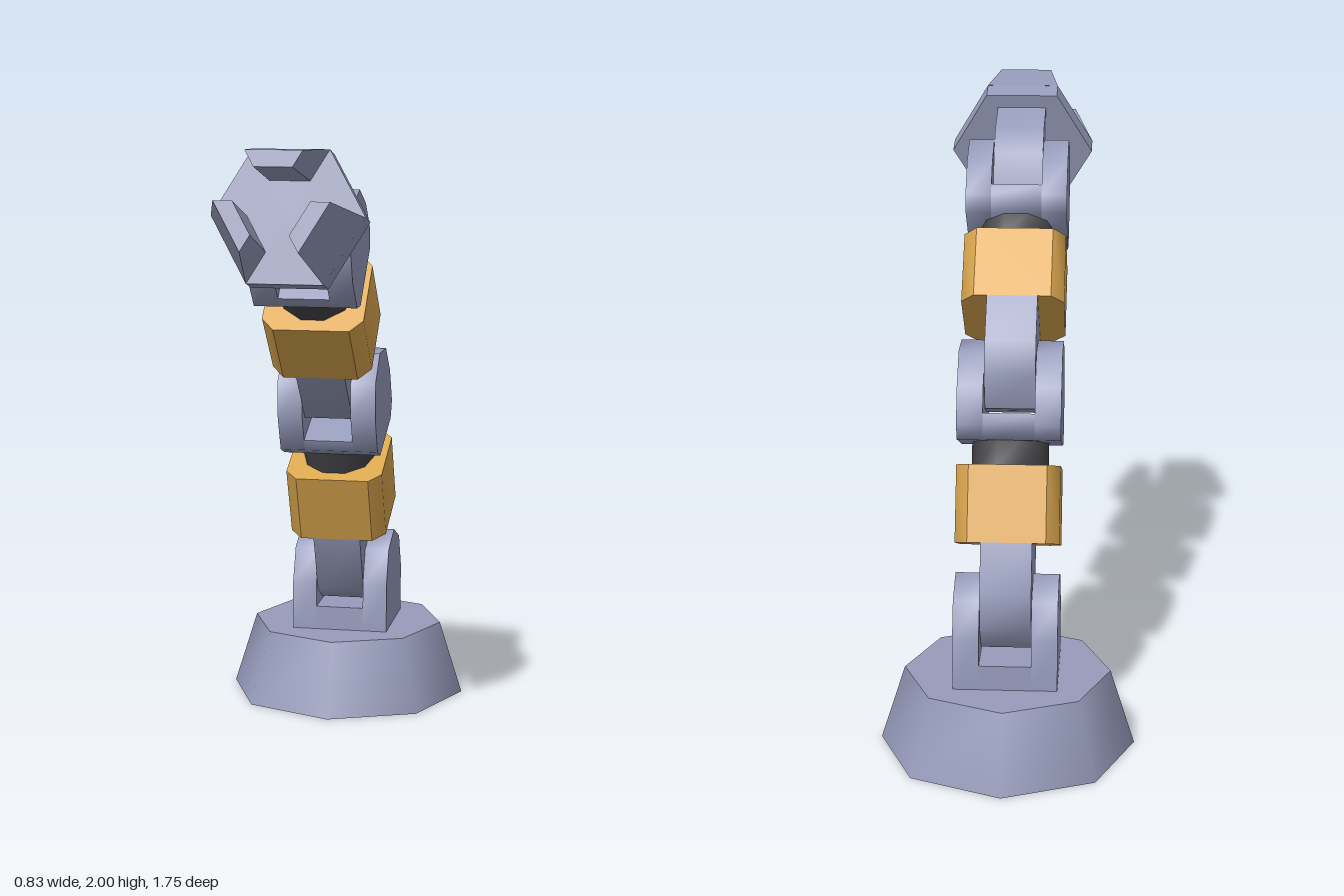
import * as THREE from 'three';
import { toCreasedNormals } from 'three/addons/utils/BufferGeometryUtils.js';

const material = (name, color) => Object.assign(new THREE.MeshStandardMaterial({ color }), { name });

export function createModel() {
  const steel = material('blueGreySteel', 0x979cbb);
  const gold = material('gold', 0xdca74f);
  const rubber = material('darkRubber', 0x454548);

  const add = (parent, name, geometry, mat, x = 0, y = 0, z = 0) => {
    const mesh = new THREE.Mesh(geometry, mat);
    mesh.name = name;
    mesh.position.set(x, y, z);
    parent.add(mesh);
    return mesh;
  };
  const shapeOf = (points) => new THREE.Shape(points.map(([a, b]) => new THREE.Vector2(a, b)));

  // Side profile given as [z, y], extruded to a width centred on x = 0
  const sidePlate = (points, width) => {
    const g = new THREE.ExtrudeGeometry(shapeOf(points), { depth: width, bevelEnabled: false });
    g.translate(0, 0, -width / 2).rotateY(-Math.PI / 2);
    return toCreasedNormals(g, 0.87);
  };

  const R = 0.167;      // lug radius and half width of the arm
  const SLOT = 0.083;   // half width of the slot
  const D = R * Math.SQRT1_2;

  // Fork with two octagonal lugs, pivot at its origin
  const addClevis = (parent, lower, y, z) => {
    const clevis = new THREE.Group();
    clevis.name = 'clevis';
    clevis.position.set(0, y, z);
    parent.add(clevis);
    const lug = [[R, 0], [D, D], [0, R], [-D, D], [-R, 0], ...lower];
    for (const side of [1, -1]) {
      add(clevis, side > 0 ? 'leftLug' : 'rightLug', sidePlate(lug, R - SLOT), steel, side * (R + SLOT) / 2);
    }
    add(clevis, 'clevisBridge', sidePlate([[R, -0.085], [-R, -0.085], ...lower], SLOT * 2), steel);
  };

  // Tongue with a rounded end that sits between two lugs
  const addTongue = (parent, top) => add(parent, 'tongue', sidePlate([
    [0.163, top], [-0.163, top], [-0.163, 0.085], [-0.12, -0.018],
    [-0.01, -0.083], [0.11, -0.04], [0.163, 0.03],
  ], SLOT * 2 - 0.002), steel);

  // Gold collar: a box with four chamfered long edges
  const collarGeometry = () => {
    const w = R, d = 0.163, cx = 0.042, cz = 0.046;
    const s = shapeOf([
      [w, -d + cz], [w, d - cz], [w - cx, d], [cx - w, d],
      [-w, d - cz], [-w, cz - d], [cx - w, -d], [w - cx, -d],
    ]);
    const g = new THREE.ExtrudeGeometry(s, { depth: 0.249, bevelEnabled: false });
    return toCreasedNormals(g.rotateX(-Math.PI / 2), Math.PI / 4);
  };

  const joint = (name, y, z, angle, offset) => {
    const pivot = new THREE.Group();
    pivot.name = name;
    pivot.position.set(0, y, z);
    pivot.rotation.x = angle;
    const body = new THREE.Group();
    body.name = name + 'Body';
    body.position.z = offset;
    pivot.add(body);
    model.add(pivot);
    return body;
  };

  const model = new THREE.Group();
  model.name = 'robotArm';

  // Base
  const base = new THREE.CylinderGeometry(0.335, 0.415, 0.253, 8);
  add(model, 'base', toCreasedNormals(base, 0.87), steel, 0, 0.1265, -0.46);
  addClevis(model, [[-R, -0.17], [R, -0.17]], 0.42, -0.46);

  // Two arm links: tongue, collar, neck and the next clevis
  const links = [
    ['lowerArm', 0.42, -0.46, 0.393, -0.02],
    ['upperArm', 1.113, -0.194, 0.752, -0.038],
  ];
  for (const [name, y, z, angle, offset] of links) {
    const arm = joint(name, y, z, angle, offset);
    addTongue(arm, 0.249);
    add(arm, 'collar', collarGeometry(), gold, 0, 0.248, 0);
    const neck = new THREE.CylinderGeometry(0.125, 0.125, 0.09, 10).rotateY(Math.PI / 2);
    add(arm, 'neck', toCreasedNormals(neck, 0.87), rubber, 0, 0.537, 0);
    addClevis(arm, [[-R, -0.124], [-0.12, -R], [0.12, -R], [R, -0.124]], 0.744, 0);
  }

  // Gripper head: tongue, hexagonal plate and three fingers
  const head = joint('gripper', 1.686, 0.286, 1.309, -0.018);
  addTongue(head, 0.243);
  const plate = new THREE.CylinderGeometry(0.24, 0.24, 0.082, 6).rotateY(Math.PI / 6);
  add(head, 'palmPlate', toCreasedNormals(plate, 0.87), steel, 0, 0.282, 0);

  // Each finger is a 60 degree wedge that tapers to its tip
  for (let i = 0; i < 3; i++) {
    const g = new THREE.BoxGeometry(1, 1, 1);
    const p = g.attributes.position;
    for (let v = 0; v < p.count; v++) {
      const tip = p.getY(v) > 0;
      const outer = p.getZ(v) > 0;
      const r = outer ? (tip ? 0.152 : 0.208) : (tip ? 0.101 : 0.11);
      p.setXYZ(v, Math.sign(p.getX(v)) * r * Math.tan(Math.PI / 6), tip ? 0.577 : 0.322, r);
    }
    g.computeVertexNormals();
    add(head, 'finger' + (i + 1), g, steel).rotation.y = Math.PI + (i * Math.PI * 2) / 3;
  }

  return model;
}
